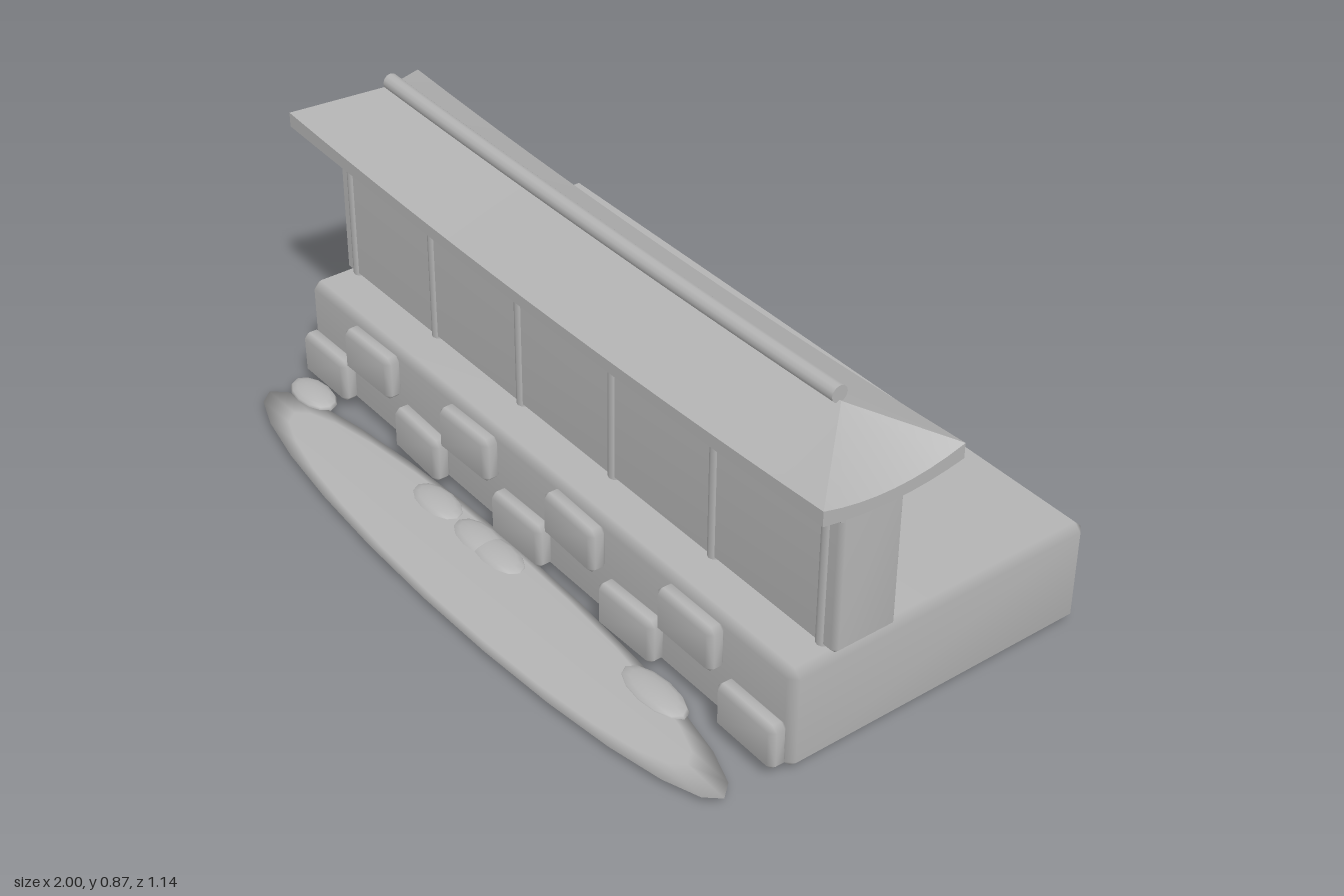
import * as THREE from 'three';
import { mergeVertices, toCreasedNormals } from 'three/addons/utils/BufferGeometryUtils.js';
import { ConvexGeometry } from 'three/addons/geometries/ConvexGeometry.js';

const stoneGrey = new THREE.MeshStandardMaterial({ color: 0xb4b4b4 });
stoneGrey.name = 'stoneGrey';

// Box with chamfered edges and smooth normals
function chamferBox(w, h, d, r) {
  const pts = [];
  const [a, b, c] = [w / 2, h / 2, d / 2];
  for (const x of [-1, 1]) for (const y of [-1, 1]) for (const z of [-1, 1]) {
    pts.push(new THREE.Vector3(x * a, y * (b - r), z * (c - r)));
    pts.push(new THREE.Vector3(x * (a - r), y * b, z * (c - r)));
    pts.push(new THREE.Vector3(x * (a - r), y * (b - r), z * c));
  }
  let geo = new ConvexGeometry(pts);
  geo.deleteAttribute('normal');
  geo = mergeVertices(geo, 1e-4);
  geo.computeVertexNormals();
  return geo;
}

// Hipped roof: loops of points from underside to eave to ridge
function roofGeometry() {
  const halfX = 1, halfZ = 0.1875, ridgeX = 0.83, n = 16, m = 8;
  const rim = [];
  for (let i = 0; i < n; i++) rim.push([-1 + 2 * i / n, 1]);
  for (let i = 0; i < m; i++) rim.push([1, 1 - 2 * i / m]);
  for (let i = 0; i < n; i++) rim.push([1 - 2 * i / n, -1]);
  for (let i = 0; i < m; i++) rim.push([-1, -1 + 2 * i / m]);
  const eaveY = ([u, v]) => 0.715 + 0.028 * Math.min(u * u, v * v);
  const loops = [
    rim.map(([u]) => [u * ridgeX, 0.695, 0]),
    rim.map((p) => [p[0] * halfX, eaveY(p) - 0.03 - 0.008 * Math.min(p[0] ** 2, p[1] ** 2), p[1] * halfZ]),
    rim.map((p) => [p[0] * halfX, eaveY(p), p[1] * halfZ]),
    rim.map(([u]) => [u * ridgeX, 0.82 + 0.01 * u * u, 0]),
  ];
  const pos = [];
  for (let k = 0; k < loops.length - 1; k++) {
    for (let i = 0; i < rim.length; i++) {
      const j = (i + 1) % rim.length;
      const a = loops[k][i], b = loops[k][j], c = loops[k + 1][j], d = loops[k + 1][i];
      pos.push(...a, ...b, ...c, ...a, ...c, ...d);
    }
  }
  const geo = new THREE.BufferGeometry();
  geo.setAttribute('position', new THREE.Float32BufferAttribute(pos, 3));
  return toCreasedNormals(geo, 0.4);
}

export function createModel() {
  const model = new THREE.Group();
  model.name = 'walledTerrace';
  const add = (name, geo, x, y, z, parent = model) => {
    const mesh = new THREE.Mesh(geo, stoneGrey);
    mesh.name = name;
    mesh.position.set(x, y, z);
    parent.add(mesh);
    return mesh;
  };
  const group = (name) => {
    const g = new THREE.Group();
    g.name = name;
    model.add(g);
    return g;
  };

  // Platform and wall
  add('platform', chamferBox(1.895, 0.27, 0.85, 0.02), 0, 0.155, -0.15);
  add('wall', chamferBox(1.895, 0.42, 0.175, 0.012), 0, 0.495, 0.0775);

  // Facing stones in two staggered rows
  const stones = group('facingStones');
  const stoneGeo = chamferBox(0.195, 0.119, 0.05, 0.014);
  for (let i = 0; i < 9; i++) {
    const upper = i % 2;
    const s = add('facingStone', stoneGeo, -0.84 + i * 0.21, upper ? 0.217 : 0.094, 0.291, stones);
    s.rotation.set(0, 0.03 * Math.sin(i * 2.3), 0.012 * Math.cos(i * 1.7));
  }

  // Posts and horizontal beams on both wall faces
  const timber = group('timberFrame');
  const postGeo = new THREE.CylinderGeometry(0.018, 0.018, 0.41, 10);
  const beamGeo = new THREE.CylinderGeometry(0.014, 0.014, 1.89, 8).rotateZ(Math.PI / 2);
  for (const z of [0.153, 0.002]) {
    for (let i = 0; i < 6; i++) add('post', postGeo, -0.9 + i * 0.36, 0.495, z, timber);
    add('beam', beamGeo, 0, 0.645, z < 0.1 ? 0 : 0.156, timber);
  }

  // Roof with its sagging ridge pole
  add('roof', roofGeometry(), 0, 0, 0.0775);
  const ridgeGeo = new THREE.CylinderGeometry(0.021, 0.021, 1.65, 12, 12).rotateZ(Math.PI / 2);
  const rp = ridgeGeo.attributes.position;
  for (let i = 0; i < rp.count; i++) rp.setY(i, rp.getY(i) + 0.01 * (rp.getX(i) / 0.825) ** 2);
  add('ridgePole', ridgeGeo, 0, 0.834, 0.0775);

  // Flat pond, slightly thicker in the middle
  const pond = add('pond', new THREE.SphereGeometry(1, 24, 6), 0, 0.022, 0.43);
  pond.scale.set(0.925, 0.007, 0.14);

  // Flattened pebbles along the water's edge
  const pebbles = group('pebbles');
  const pebbleGeo = new THREE.SphereGeometry(1, 12, 8);
  for (const [x, r] of [[-0.845, 0.085], [-0.275, 0.09], [-0.1, 0.09], [-0.02, 0.095], [0.578, 0.11]]) {
    add('pebble', pebbleGeo, x, 0.021, 0.347, pebbles).scale.set(r, 0.021, 0.047);
  }
  return model;
}
